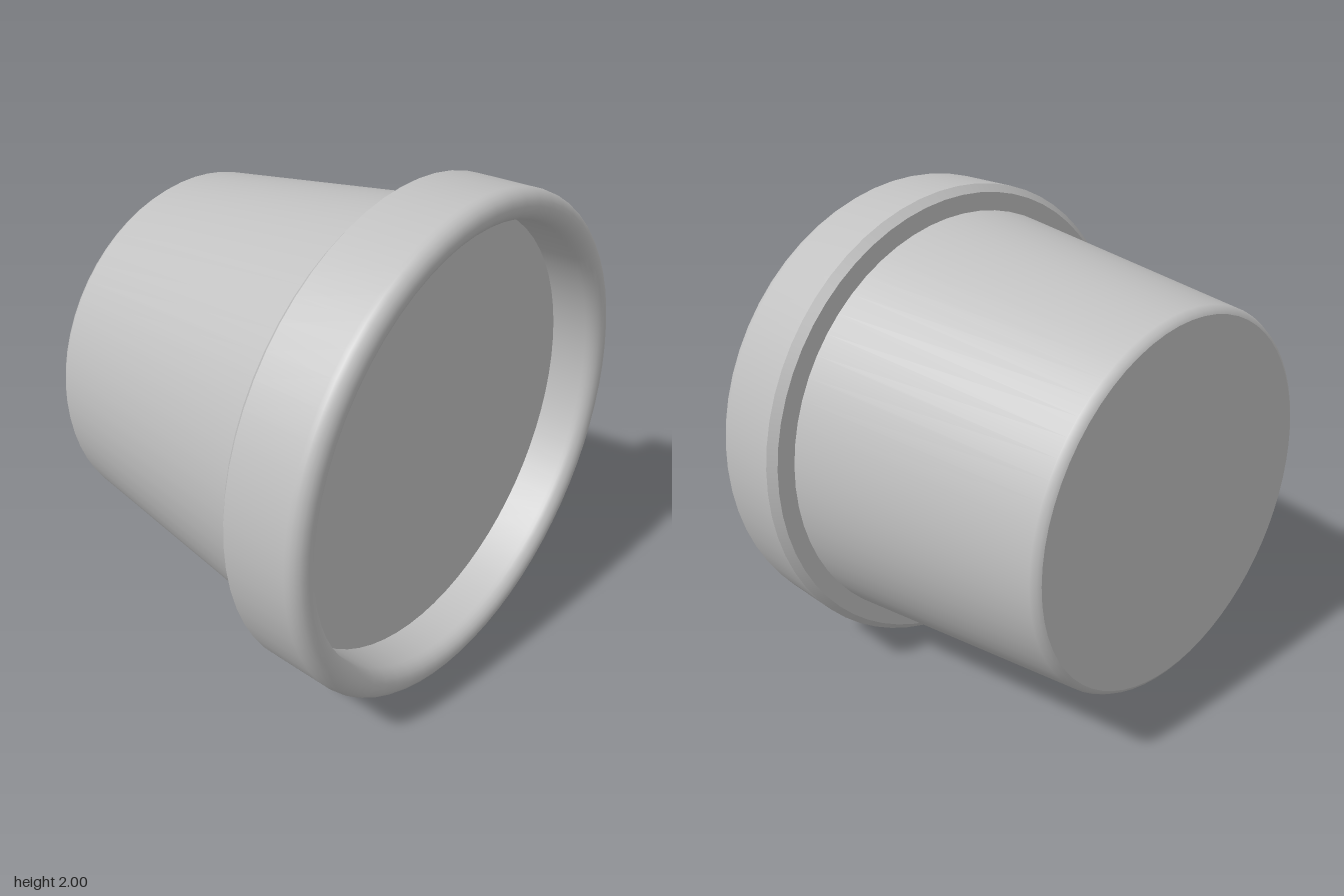
import * as THREE from 'three';

const SEGMENTS = 64;

export function createModel() {
  const model = new THREE.Group();
  model.name = 'plantPot';
  const clay = new THREE.MeshStandardMaterial({ color: 0xc0c0c0 });
  clay.name = 'plain grey';

  // Adds a surface turned about the z axis from [radius, z] points, back to front outside.
  function turned(name, points) {
    const profile = points.map(([r, z]) => new THREE.Vector2(r, z));
    const geometry = new THREE.LatheGeometry(profile, SEGMENTS).rotateX(Math.PI / 2);
    const mesh = new THREE.Mesh(geometry, clay);
    mesh.name = name;
    mesh.position.y = 1;
    model.add(mesh);
  }

  // Adds a flat round face, towards the front or the back.
  function disc(name, radius, z, facesBack) {
    const geometry = new THREE.CircleGeometry(radius, SEGMENTS).rotateZ(Math.PI / 2);
    if (facesBack) geometry.rotateY(Math.PI);
    const mesh = new THREE.Mesh(geometry, clay);
    mesh.name = name;
    mesh.position.set(0, 1, z);
    model.add(mesh);
  }

  // Closed base and tapering body with a softened base edge
  disc('base', 0.73, -0.75, true);
  turned('body', [[0.73, -0.75], [0.745, -0.742], [0.758, -0.72], [0.896, 0.395]]);

  // Back of the rim: flat step and chamfer
  turned('rimStep', [[0.896, 0.395], [0.97, 0.395]]);
  turned('rimChamfer', [[0.97, 0.395], [1, 0.425]]);

  // Outer rim wall, half-round lip and inner wall as one smooth surface
  const lip = [[1, 0.425]];
  const lipRadius = 0.0575;
  for (let i = 0; i <= 10; i++) {
    const a = (i / 10) * Math.PI;
    lip.push([1 - lipRadius + lipRadius * Math.cos(a), 0.75 - lipRadius + lipRadius * Math.sin(a)]);
  }
  lip.push([0.885, 0.54]);
  turned('rim', lip);

  // Flat filling set back inside the rim
  disc('filling', 0.885, 0.54, false);

  return model;
}
